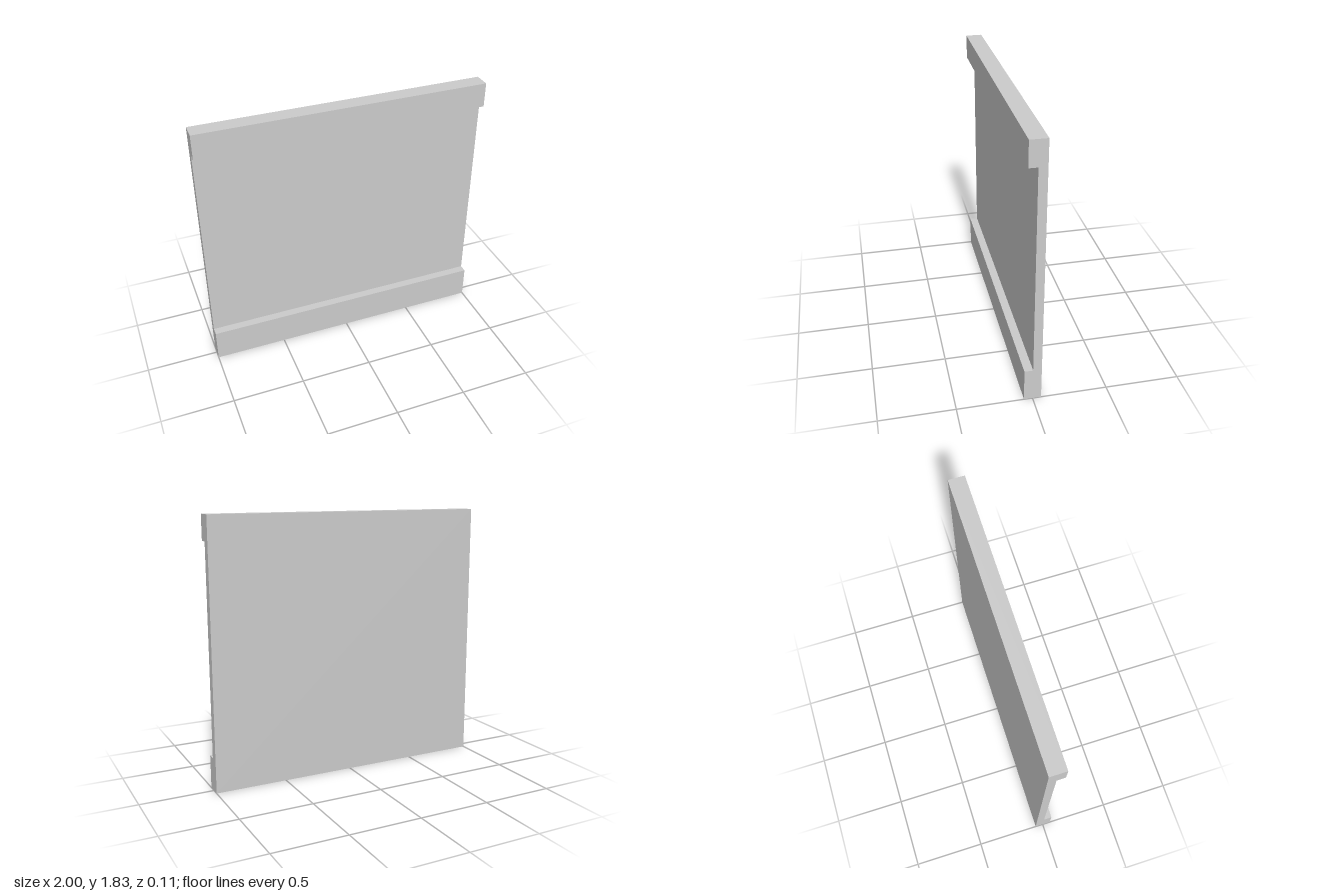
import * as THREE from 'three';

export function createModel() {
  const width = 2, height = 1.83, halfDepth = 0.057;
  const panelFace = 0, baseTop = 0.23, railBottom = 1.66;
  const group = new THREE.Group();
  group.name = 'wallPanel';

  // Side profile as [z, y]: thin panel with a thicker base and top rail
  const profile = [
    [-halfDepth, 0], [halfDepth, 0], [halfDepth, baseTop], [panelFace, baseTop],
    [panelFace, railBottom], [halfDepth, railBottom], [halfDepth, height], [-halfDepth, height],
  ];
  const shape = new THREE.Shape(profile.map(([z, y]) => new THREE.Vector2(-z, y)));

  // Sweep the profile across the width, turned so it runs along x
  const geometry = new THREE.ExtrudeGeometry(shape, { depth: width, bevelEnabled: false });
  geometry.translate(0, 0, -width / 2);
  geometry.rotateY(Math.PI / 2);

  const wall = new THREE.Mesh(geometry, new THREE.MeshStandardMaterial({ color: 0xcccccc }));
  wall.name = 'panelWithBaseAndTopRail';
  group.add(wall);
  return group;
}
